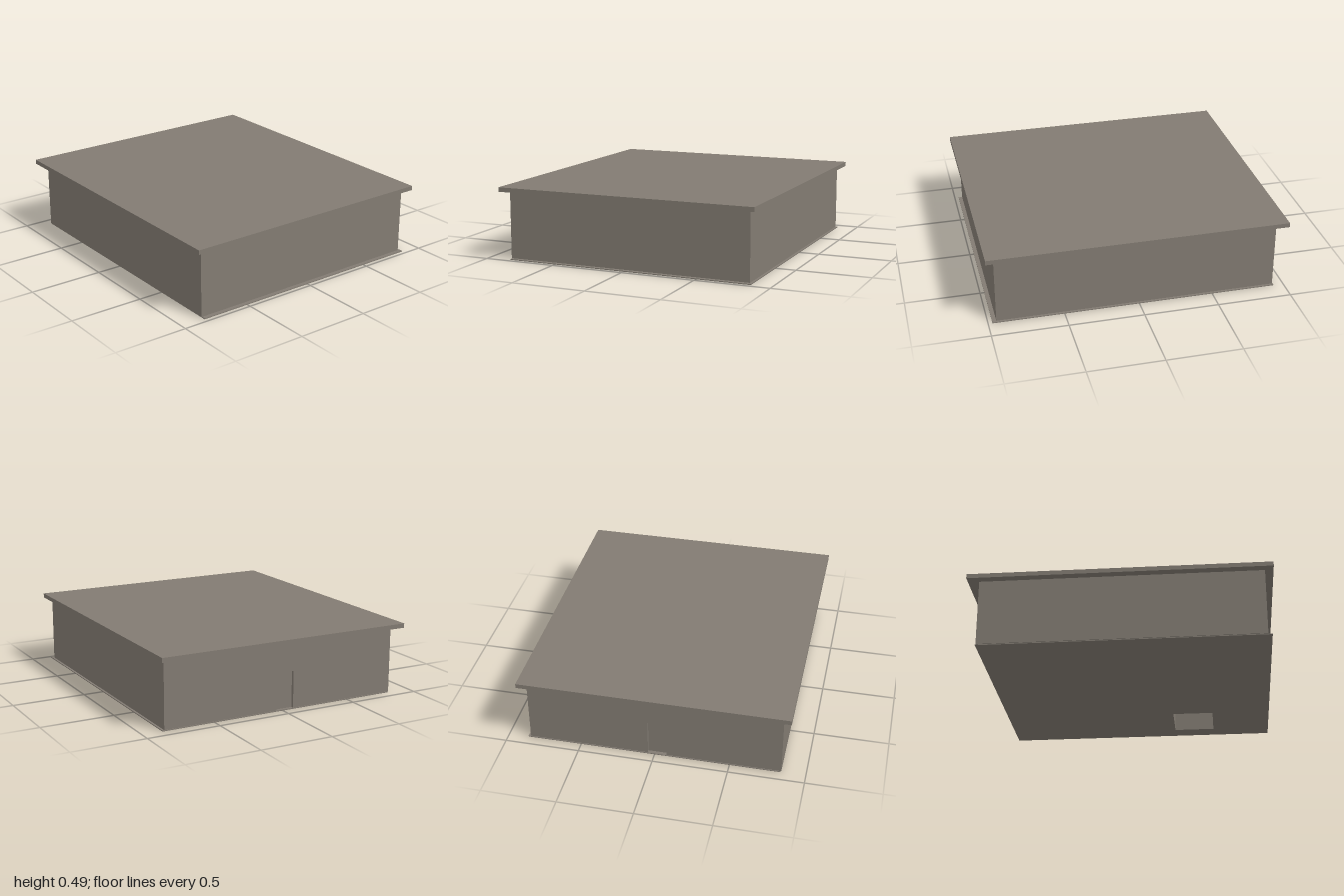
import * as THREE from 'three';

export function createModel() {
  const house = new THREE.Group();
  house.name = 'flatRoofBuilding';
  const stone = new THREE.MeshStandardMaterial({ color: 0x827b72 });
  stone.name = 'warm grey stone';

  // Box given by its minimum and maximum on each axis
  function block(name, x0, x1, y0, y1, z0, z1) {
    const mesh = new THREE.Mesh(new THREE.BoxGeometry(x1 - x0, y1 - y0, z1 - z0), stone);
    mesh.position.set((x0 + x1) / 2, (y0 + y1) / 2, (z0 + z1) / 2);
    mesh.name = name;
    house.add(mesh);
  }

  const floorTop = 0.006, wallTop = 0.46, t = 0.02;
  const X0 = -0.925, X1 = 0.945, Z0 = -0.85, Z1 = 0.84;
  const door = { z0: -0.045, z1: 0.08, top: 0.255 };
  const well = { x0: 0.28, x1: 0.565, z0: -0.745, z1: -0.43 };

  // Overhanging flat roof
  block('roof', -1, 1, wallTop, 0.49, -0.895, 0.895);

  // Thin floor with the stairwell opening
  const outline = new THREE.Shape([
    [-0.93, -0.835], [0.972, -0.835], [0.972, 0.865], [-0.93, 0.865],
  ].map(([x, y]) => new THREE.Vector2(x, y)));
  outline.holes.push(new THREE.Path([
    [well.x0, -well.z1], [well.x0, -well.z0], [well.x1, -well.z0], [well.x1, -well.z1],
  ].map(([x, y]) => new THREE.Vector2(x, y))));
  const floorGeometry = new THREE.ExtrudeGeometry(outline, { depth: floorTop, bevelEnabled: false });
  floorGeometry.rotateX(-Math.PI / 2);
  const floor = new THREE.Mesh(floorGeometry, stone);
  floor.name = 'floor';
  house.add(floor);

  // Outer walls
  block('frontWall', X0, X1, floorTop, wallTop, Z1 - t, Z1);
  block('backWall', X0, X1, floorTop, wallTop, Z0, Z0 + t);
  block('leftWall', X1 - t, X1, floorTop, wallTop, Z0 + t, Z1 - t);

  // Right wall, built around the doorway
  block('rightWallBack', X0, X0 + t, floorTop, wallTop, Z0 + t, door.z0);
  block('rightWallFront', X0, X0 + t, floorTop, wallTop, door.z1, Z1 - t);
  block('doorLintel', X0, X0 + t, door.top, wallTop, door.z0, door.z1);
  block('door', X0 + t, X0 + t + 0.01, floorTop, door.top + 0.01, door.z0 - 0.01, door.z1 + 0.01);

  // Stairwell walls rising from the floor opening
  for (const [x0, x1] of [[well.x0 - t, well.x0], [well.x1, well.x1 + t]]) {
    block('stairwellSide', x0, x1, floorTop, wallTop, well.z0 - t, well.z1 + t);
  }
  for (const [z0, z1] of [[well.z0 - t, well.z0], [well.z1, well.z1 + t]]) {
    block('stairwellEnd', well.x0, well.x1, floorTop, wallTop, z0, z1);
  }
  return house;
}
